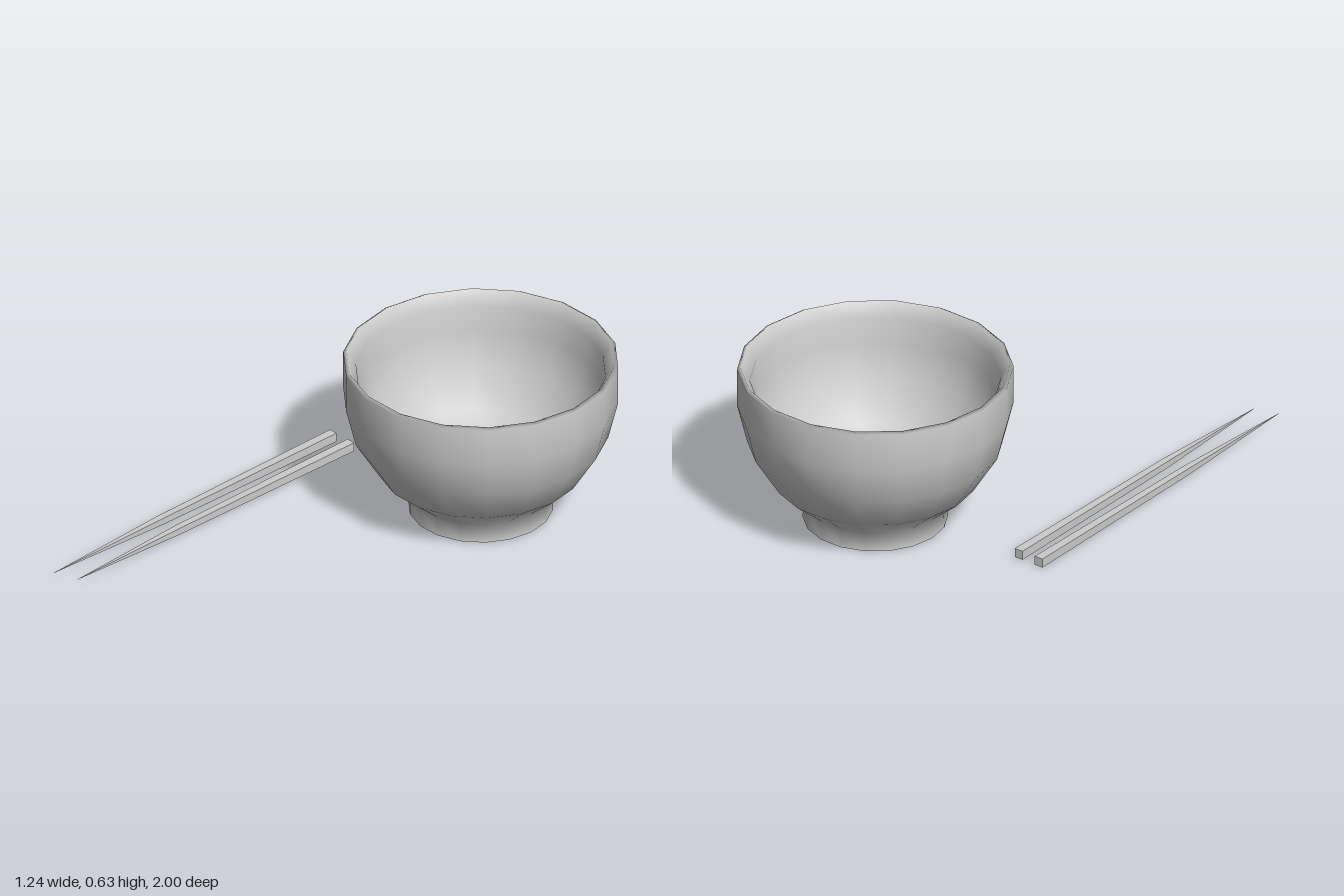
import * as THREE from 'three';

const SIDES = 18;

export function createModel() {
  const model = new THREE.Group();
  const smooth = new THREE.MeshStandardMaterial({ color: 0xcccccc });
  const faceted = new THREE.MeshStandardMaterial({ color: 0xcccccc, flatShading: true });

  // Bowl: one smooth shell over the rim down to the inner floor, with a sharp-edged underside
  const bowl = new THREE.Group();
  bowl.name = 'bowl';
  bowl.position.set(0.1075, 0, -0.5);
  const turn = (name, profile) => {
    const points = profile.map(([r, y]) => new THREE.Vector2(r, y));
    const mesh = new THREE.Mesh(new THREE.LatheGeometry(points, SIDES, Math.PI / 2), smooth);
    mesh.name = name;
    bowl.add(mesh);
  };
  turn('bowlUnderside', [[0, 0], [0.269, 0]]);
  turn('bowlShell', [
    [0.269, 0], [0.265, 0.075], [0.381, 0.173], [0.474, 0.324], [0.511, 0.475], [0.511, 0.627], // outer wall
    [0.498, 0.635], // rim
    [0.464, 0.58], [0.46, 0.48], [0.426, 0.34], [0.343, 0.208], [0.245, 0.125], [0, 0.125], // inner wall and floor
  ]);
  model.add(bowl);

  // Chopsticks: square bars that narrow slowly, then run to a point
  const sections = [
    { z: -0.425, half: 0.018, y: 0.021 },
    { z: 0.45, half: 0.0135, y: 0.022 },
    { z: 1, half: 0.0005, y: 0.021 },
  ];
  const addChopstick = (name, x, tipZ) => {
    const geometry = new THREE.BoxGeometry(2, 2, 2, 1, 1, sections.length - 1);
    const p = geometry.attributes.position;
    for (let i = 0; i < p.count; i++) {
      const k = Math.round(p.getZ(i)) + 1;
      const s = sections[k];
      p.setXYZ(i, p.getX(i) * s.half, s.y + p.getY(i) * s.half, k === 2 ? tipZ : s.z);
    }
    geometry.computeVertexNormals();
    const mesh = new THREE.Mesh(geometry, faceted);
    mesh.name = name;
    mesh.position.x = x;
    model.add(mesh);
  };
  addChopstick('outerChopstick', -0.603, 1);
  addChopstick('innerChopstick', -0.509, 0.97);

  return model;
}
